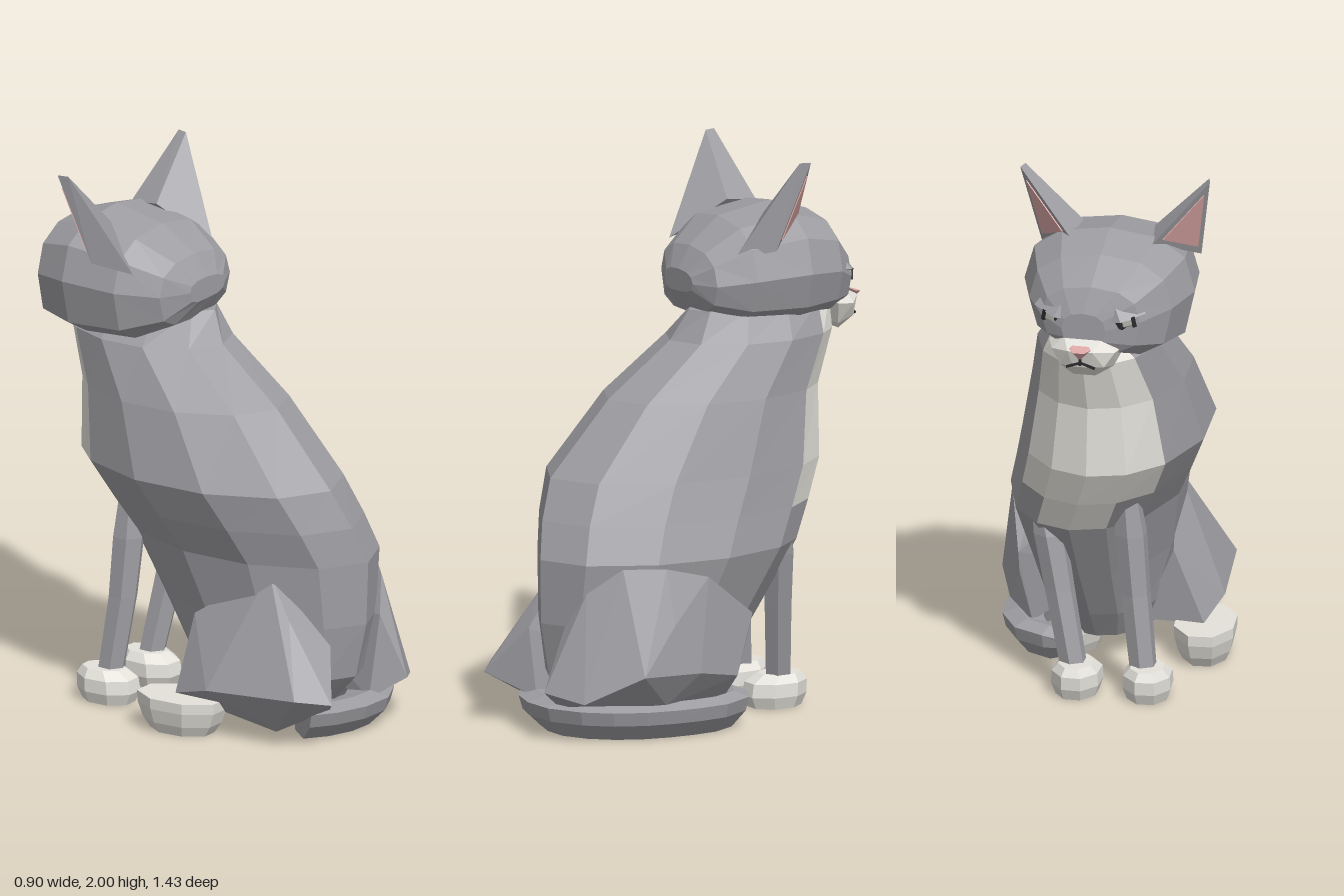
import * as THREE from 'three';
import { ConvexGeometry } from 'three/addons/geometries/ConvexGeometry.js';

const V = (x, y, z) => new THREE.Vector3(x, y, z);
const mat = (name, color) => Object.assign(new THREE.MeshStandardMaterial({ color }), { name });

// Triangles through a list of closed loops; keep(row, column) picks the faces
function loft(rings, keep = () => true, caps = true) {
  const out = [], n = rings[0].length;
  const tri = (...p) => p.forEach((v) => out.push(v.x, v.y, v.z));
  for (let i = 0; i < rings.length - 1; i++) {
    for (let j = 0; j < n; j++) {
      if (!keep(i, j)) continue;
      const k = (j + 1) % n;
      tri(rings[i][j], rings[i][k], rings[i + 1][k]);
      tri(rings[i][j], rings[i + 1][k], rings[i + 1][j]);
    }
  }
  if (caps) {
    const first = rings[0], last = rings[rings.length - 1];
    for (let j = 1; j < n - 1; j++) {
      tri(first[0], first[j + 1], first[j]);
      tri(last[0], last[j], last[j + 1]);
    }
  }
  const g = new THREE.BufferGeometry();
  g.setAttribute('position', new THREE.Float32BufferAttribute(out, 3));
  g.computeVertexNormals();
  return g;
}

const hull = (pts) => new ConvexGeometry(pts.map((p) => V(...p)));
// Hull of points given as [offset, y, z] on both sides of x = c
const mirrorHull = (c, pts) => hull(pts.flatMap(([x, y, z]) => [[c + x, y, z], [c - x, y, z]]));
// Low-poly ball with flat faces
function ball() {
  const g = new THREE.SphereGeometry(1, 8, 5).toNonIndexed();
  g.computeVertexNormals();
  return g;
}

export function createModel() {
  const cat = new THREE.Group();
  cat.name = 'sittingCat';
  const fur = mat('greyFur', 0x9e9da2);
  const white = mat('whiteFur', 0xe3e1da);
  const pink = mat('pinkSkin', 0xdca9a7);
  const dark = mat('darkLine', 0x2b2b2d);
  const eyeGrey = mat('eyeGrey', 0xb4b5ae);
  const add = (name, geo, material, parent = cat) => {
    const m = new THREE.Mesh(geo, material);
    m.name = name;
    parent.add(m);
    return m;
  };

  // Body: loops from neck to belly as [y, right, left, back, front]
  const half = [0, 24, 48, 80, 112, 146, 180];
  const angles = [...half, ...half.slice(1, -1).reverse().map((a) => 360 - a)];
  const bodyRings = [
    [1.46, -0.13, 0.12, 0.0, -0.57],
    [1.35, -0.26, 0.19, 0.06, -0.58],
    [1.16, -0.32, 0.24, 0.31, -0.52],
    [0.9, -0.37, 0.3, 0.55, -0.52],
    [0.76, -0.31, 0.335, 0.61, -0.45],
    [0.63, -0.25, 0.37, 0.645, -0.375],
    [0.4, -0.21, 0.32, 0.64, -0.23],
    [0.2, -0.19, 0.28, 0.6, -0.1],
    [0.09, -0.14, 0.22, 0.5, -0.02],
  ].map(([y, x0, x1, zb, zf]) => angles.map((d) => {
    const a = THREE.MathUtils.degToRad(d);
    return V((x0 + x1) / 2 + (x1 - x0) / 2 * Math.sin(a), y, (zb + zf) / 2 - (zb - zf) / 2 * Math.cos(a));
  }));
  // The chest patch narrows towards the bottom
  const isChest = (i, j) => {
    const side = Math.min(j, 11 - j);
    return i < 4 ? side < 2 : i === 4 && side < 1;
  };
  add('body', loft(bodyRings, (i, j) => !isChest(i, j)), fur);
  add('chest', loft(bodyRings, isChest, false), white);

  // Head: loops from back to front as [z, half width, bottom, top, centre x]; the right cheek hangs lower
  const headRings = [
    [0.01, 0.1, 1.52, 1.6, -0.06],
    [-0.04, 0.2, 1.44, 1.68, -0.07],
    [-0.17, 0.28, 1.38, 1.77, -0.09],
    [-0.38, 0.31, 1.37, 1.805, -0.09],
    [-0.53, 0.26, 1.39, 1.76, -0.09],
    [-0.6, 0.18, 1.42, 1.66, -0.07],
    [-0.635, 0.08, 1.45, 1.57, -0.05],
  ].map(([z, w, y0, y1, cx]) => Array.from({ length: 12 }, (_, j) => {
    const a = (j / 12) * Math.PI * 2, s = Math.sin(a), c = Math.cos(a);
    const dx = w * Math.sign(s) * Math.abs(s) ** 0.85;
    const droop = c < -0.01 ? 0.13 * Math.min(dx, 0) : 0;
    return V(cx + dx, (y0 + y1) / 2 + (y1 - y0) / 2 * Math.sign(c) * Math.abs(c) ** 0.8 + droop, z);
  }));
  add('head', loft(headRings), fur);

  // Ears with a pink inset on the outward front face
  for (const s of [1, -1]) {
    const ear = new THREE.Group();
    ear.name = s > 0 ? 'leftEar' : 'rightEar';
    cat.add(ear);
    const P = (x, y, z) => [-0.105 + s * x, y, z];
    const tip = P(0.345, 2.0, -0.36), outer = P(0.29, 1.68, -0.25), inner = P(0.15, 1.77, -0.42);
    add('earShell', hull([tip, P(0.335, 2.0, -0.32), outer, inner, P(0.23, 1.65, -0.11), P(0.13, 1.79, -0.29)]), fur, ear);
    const tri = [tip, outer, inner].map((p) => V(...p));
    const mid = V(0, 0, 0).add(tri[0]).add(tri[1]).add(tri[2]).divideScalar(3);
    const out = tri[1].clone().sub(tri[0]).cross(tri[2].clone().sub(tri[0])).normalize();
    if (out.z > 0) out.negate();
    const inset = tri.map((p) => p.clone().lerp(mid, 0.28).addScaledVector(out, 0.004));
    const back = inset.map((p) => p.clone().addScaledVector(out, -0.006));
    add('innerEar', new ConvexGeometry([...inset, ...back]), pink, ear);
  }

  // Muzzle, nose and mouth
  const c = -0.05;
  add('muzzle', mirrorHull(c, [
    [0.14, 1.44, -0.56], [0.115, 1.43, -0.635], [0.1, 1.36, -0.58], [0.07, 1.475, -0.63], [0.08, 1.38, -0.655],
    [0.045, 1.445, -0.69], [0.04, 1.33, -0.615], [0.03, 1.38, -0.67],
  ]), white);
  add('nose', mirrorHull(c, [[0.04, 1.455, -0.69], [0.02, 1.45, -0.717], [0.005, 1.42, -0.695], [0.03, 1.462, -0.675]]), pink);
  for (const s of [1, -1]) {
    const lip = add('mouthLine', new THREE.BoxGeometry(0.055, 0.008, 0.008), dark);
    lip.position.set(c + s * 0.026, 1.39, -0.677);
    lip.rotation.z = -s * 0.35;
  }
  add('lipLine', new THREE.BoxGeometry(0.008, 0.035, 0.008), dark).position.set(c, 1.41, -0.687);

  // Narrowed eyes under heavy brows
  for (const s of [1, -1]) {
    const eye = new THREE.Group();
    eye.name = s > 0 ? 'leftEye' : 'rightEye';
    eye.position.set(-0.065 + s * 0.145, 1.545, -0.583);
    eye.rotation.set(0, -s * 0.6, s * 0.22);
    cat.add(eye);
    add('eyeRim', ball(), dark, eye).scale.set(0.072, 0.05, 0.027);
    add('eyeball', ball(), eyeGrey, eye).scale.set(0.055, 0.034, 0.034);
    add('pupil', new THREE.BoxGeometry(0.014, 0.04, 0.008), dark, eye).position.z = -0.032;
    add('brow', hull([[-0.075, 0.014, 0], [0.075, 0.014, 0], [-0.05, 0.016, -0.036], [0.05, 0.016, -0.036],
      [-0.045, 0.06, 0], [0.045, 0.06, 0]]), fur, eye);
  }

  // Haunches
  add('leftHaunch', hull([
    [0.24, 0.53, 0.56], [0.31, 0.62, 0.45], [0.36, 0.615, 0.3], [0.38, 0.575, 0.14], [0.33, 0.46, 0.02],
    [0.31, 0.41, -0.08], [0.31, 0.33, -0.06], [0.42, 0.42, 0.3], [0.45, 0.25, 0.44], [0.43, 0.24, 0.2],
    [0.36, 0.2, 0.01], [0.2, 0.18, 0.71], [0.33, 0.15, 0.62], [0.36, 0.12, 0.3], [0.28, 0.11, 0.02],
    [0.12, 0.1, 0.6], [0.17, 0.4, 0.61],
  ]), fur);
  add('rightHaunch', hull([
    [-0.17, 0.6, 0.38], [-0.21, 0.45, 0.5], [-0.3, 0.27, 0.42], [-0.37, 0.18, 0.25], [-0.33, 0.2, 0.62],
    [-0.23, 0.18, 0.71], [-0.22, 0.03, 0.45], [-0.08, 0.1, 0.58], [-0.22, 0.4, 0.08], [-0.33, 0.13, 0.08],
    [-0.1, 0.35, 0.6], [-0.1, 0.12, 0.1],
  ]), fur);

  // Front legs as loops of [x, y, z, radius], ending in white paws
  const leg = (name, path) => add(name, loft(path.map(([x, y, z, r]) => Array.from({ length: 6 }, (_, j) => {
    const a = (j / 6) * Math.PI * 2;
    return V(x + r * Math.sin(a), y, z - r * Math.cos(a));
  }))), fur);
  leg('leftFrontLeg', [[0.18, 0.7, -0.27, 0.04], [0.15, 0.58, -0.28, 0.06], [0.11, 0.38, -0.3, 0.055], [0.05, 0.09, -0.335, 0.05]]);
  leg('rightFrontLeg', [[-0.13, 0.76, -0.28, 0.045], [-0.145, 0.6, -0.28, 0.06], [-0.165, 0.38, -0.29, 0.055], [-0.2, 0.09, -0.32, 0.05]]);

  // Paws: eight-sided loops as [height, scale, forward shift]
  const paw = (name, x, z, rx, rz, h, rot, steps) => {
    const rings = steps.map(([t, s, f]) => Array.from({ length: 8 }, (_, j) => {
      const a = ((j + 0.5) / 8) * Math.PI * 2;
      return V(rx * s * Math.sin(a), h * t, -rz * s * Math.cos(a) - f);
    }));
    const m = add(name, loft(rings), white);
    m.position.set(x, 0, z);
    m.rotation.y = rot;
  };
  const front = [[1, 0.72, 0.02], [0.75, 1.02, 0.005], [0.35, 1.05, 0], [0, 0.88, 0]];
  paw('leftFrontPaw', 0.04, -0.325, 0.088, 0.115, 0.12, 0, front);
  paw('rightFrontPaw', -0.215, -0.315, 0.088, 0.115, 0.12, 0.1, front);
  const hind = [[1, 1, 0], [0.7, 0.99, 0], [0.3, 0.88, 0], [0, 0.72, 0]];
  paw('rightHindPaw', -0.33, 0.11, 0.115, 0.175, 0.13, 0.1, hind);
  paw('leftHindPaw', 0.13, 0.12, 0.1, 0.15, 0.12, 0, hind);

  // Tail: flat bevelled section of [outward, height] swept round the left haunch
  const curve = new THREE.CatmullRomCurve3([
    V(-0.14, 0, 0.5), V(-0.03, 0, 0.565), V(0.14, 0, 0.57), V(0.28, 0, 0.44),
    V(0.33, 0, 0.22), V(0.3, 0, 0.03), V(0.2, 0, -0.035), V(0.1, 0, -0.05),
  ]);
  const section = [[0.03, 0.13], [0.1, 0.11], [0.085, 0.06], [0.02, 0], [-0.06, 0.01], [-0.08, 0.1]];
  const count = 12;
  const tail = Array.from({ length: count + 1 }, (_, i) => {
    const u = i / count, p = curve.getPointAt(u), t = curve.getTangentAt(u);
    const side = V(-t.z, 0, t.x).normalize(), w = i === count ? 0.5 : 1 - 0.25 * u;
    return section.map(([o, y]) => p.clone().addScaledVector(side, o * w).add(V(0, 0.06 + (y - 0.06) * (i === count ? 0.5 : 1), 0)));
  });
  add('tail', loft(tail), fur);
  return cat;
}
